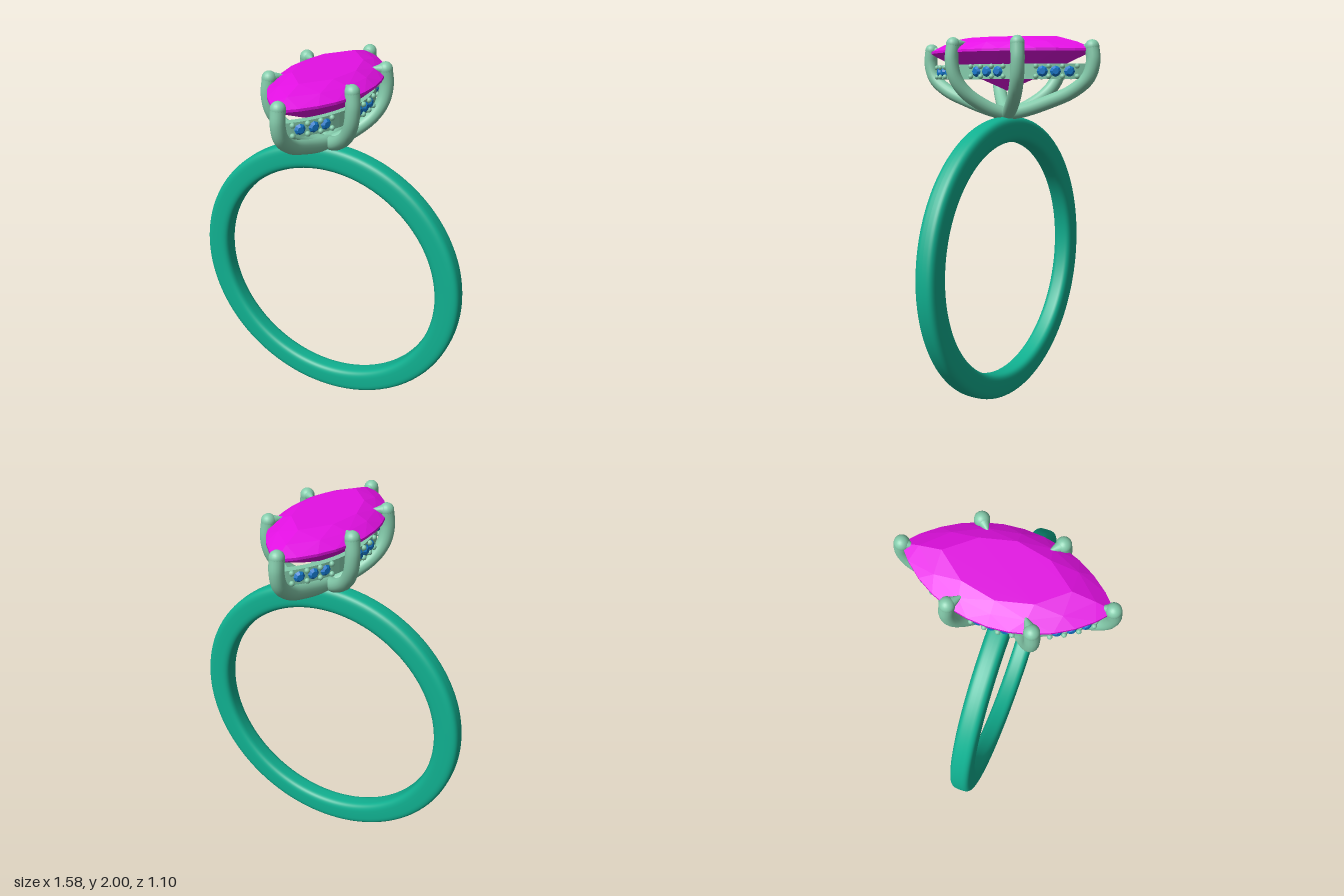
import * as THREE from 'three';
import { ConvexGeometry } from 'three/addons/geometries/ConvexGeometry.js';

const paint = (color, flatShading = false) => new THREE.MeshStandardMaterial({ color, flatShading });

function add(parent, name, geometry, material, x = 0, y = 0, z = 0) {
  const mesh = new THREE.Mesh(geometry, material);
  mesh.name = name;
  mesh.position.set(x, y, z);
  parent.add(mesh);
  return mesh;
}

// Pointed oval made of two arcs: half width w along x, half length l along z
function lens(w, l) {
  const R = (w * w + l * l) / (2 * w);
  const a = Math.asin(l / R);
  return { R, at: (phi) => [R * Math.cos(phi) - (R - w), R * Math.sin(phi)],
    // n points per side, going once round
    loop(n) {
      const pts = [];
      for (let s = 1; s >= -1; s -= 2)
        for (let i = 0; i < n; i++) {
          const [x, z] = this.at(a * (2 * i / n - 1));
          pts.push([s * x, s * z]);
        }
      return pts;
    } };
}

export function createModel() {
  const ring = new THREE.Group();
  ring.name = 'ring';
  const bandMat = paint(0x10b090);
  const metal = paint(0x84cbab);
  const gemMat = paint(0xe410e4, true);
  const blue = paint(0x1478cc, true);

  // Band: softly squared section swept round the finger
  const section = [];
  const soft = (v) => Math.sign(v) * Math.abs(v) ** 0.55;
  for (let i = 0; i <= 40; i++) {
    const t = i / 40 * Math.PI * 2;
    section.push(new THREE.Vector2(0.721 + 0.069 * soft(Math.cos(t)), 0.057 * soft(Math.sin(t))));
  }
  const band = add(ring, 'band', new THREE.LatheGeometry(section, 128), bandMat, 0, 0.79, 0);
  band.rotation.x = Math.PI / 2;

  // Centre stone: table, crown, girdle, pavilion and culet
  const pts = [new THREE.Vector3(0, 1.72, 0)];
  const tier = (scale, y, n) => lens(0.255 * scale, 0.51 * scale).loop(n)
    .forEach(([x, z]) => pts.push(new THREE.Vector3(x, y, z)));
  tier(0.6, 2, 4);
  tier(0.82, 1.971, 6);
  tier(1, 1.935, 12);
  tier(1, 1.922, 12);
  tier(0.5, 1.815, 4);
  add(ring, 'centreStone', new ConvexGeometry(pts), gemMat);

  // Gallery rail under the stone
  const gallery = new THREE.Group();
  gallery.name = 'gallery';
  ring.add(gallery);
  const outline = (w, l) => lens(w, l).loop(24).map(([x, z]) => new THREE.Vector2(x, z));
  const railShape = new THREE.Shape(outline(0.207, 0.47));
  railShape.holes.push(new THREE.Path(outline(0.177, 0.415)));
  const railGeo = new THREE.ExtrudeGeometry(railShape, { depth: 0.076, bevelEnabled: false });
  railGeo.rotateX(Math.PI / 2);
  add(gallery, 'rail', railGeo, metal, 0, 1.858, 0);

  // Small stones with bead claws, three between each pair of prongs
  const stoneGeo = new THREE.CylinderGeometry(0.016, 0.029, 0.014, 8).rotateX(Math.PI / 2);
  const beadGeo = new THREE.SphereGeometry(0.0135, 10, 8);
  const rail = lens(0.207, 0.47);
  for (let side = 0; side < 2; side++) {
    const row = new THREE.Group();
    row.name = side ? 'rightAccents' : 'leftAccents';
    row.rotation.y = side * Math.PI;
    gallery.add(row);
    const onRail = (z) => {
      const phi = Math.asin(z / rail.R);
      const seat = new THREE.Group();
      const [x, zz] = rail.at(phi);
      seat.position.set(x, 1.82, zz);
      seat.rotation.y = Math.PI / 2 - phi;
      row.add(seat);
      return seat;
    };
    for (const [centre, step] of [[-0.35, 0.058], [0, 0.066], [0.35, 0.058]]) {
      for (let i = -1; i <= 1; i++) {
        const seat = onRail(centre + i * step);
        seat.name = 'accent';
        add(seat, 'accentStone', stoneGeo, blue, 0, 0, 0.006);
      }
      for (let i = -1.5; i <= 1.5; i++) {
        const seat = onRail(centre + i * step);
        seat.name = 'beadPair';
        for (const y of [-0.026, 0.026]) add(seat, 'bead', beadGeo, metal, 0, y, 0.006);
      }
    }
  }

  // Prongs: profile of [fraction of reach, height], tip bent over the stone
  const endProfile = [[0, 1.598], [0.2, 1.615], [0.5, 1.662], [0.78, 1.72], [0.95, 1.79], [1, 1.87], [0.985, 1.942]];
  const sideProfile = [[0, 1.59], [0.36, 1.628], [0.78, 1.71], [0.97, 1.79], [1.03, 1.88], [1, 1.962]];
  function prong(name, x, z, profile, reachIn, tipDrop) {
    const group = new THREE.Group();
    group.name = name;
    ring.add(group);
    const curve = new THREE.CatmullRomCurve3(profile.map(([f, y]) => new THREE.Vector3(f * x, y, f * z)));
    add(group, 'stem', new THREE.TubeGeometry(curve, 40, 0.037, 16), metal);
    const top = curve.getPoint(1);
    add(group, 'knob', new THREE.SphereGeometry(0.0375, 20, 14), metal, top.x, top.y, top.z);
    // Pointed claw
    const dir = new THREE.Vector3(-x, 0, -z).normalize().multiplyScalar(reachIn);
    dir.y = -tipDrop;
    const claw = new THREE.ConeGeometry(0.036, dir.length(), 20).translate(0, dir.length() / 2, 0);
    add(group, 'claw', claw, metal, top.x, top.y, top.z)
      .quaternion.setFromUnitVectors(new THREE.Vector3(0, 1, 0), dir.clone().normalize());
  }
  for (const sz of [1, -1]) {
    prong(sz > 0 ? 'frontProng' : 'backProng', 0, sz * 0.512, endProfile, 0.07, 0);
    for (const sx of [1, -1])
      prong((sz > 0 ? 'front' : 'back') + (sx > 0 ? 'Left' : 'Right') + 'Prong',
        sx * 0.226, sz * 0.197, sideProfile, 0.085, -0.01);
  }
  return ring;
}
